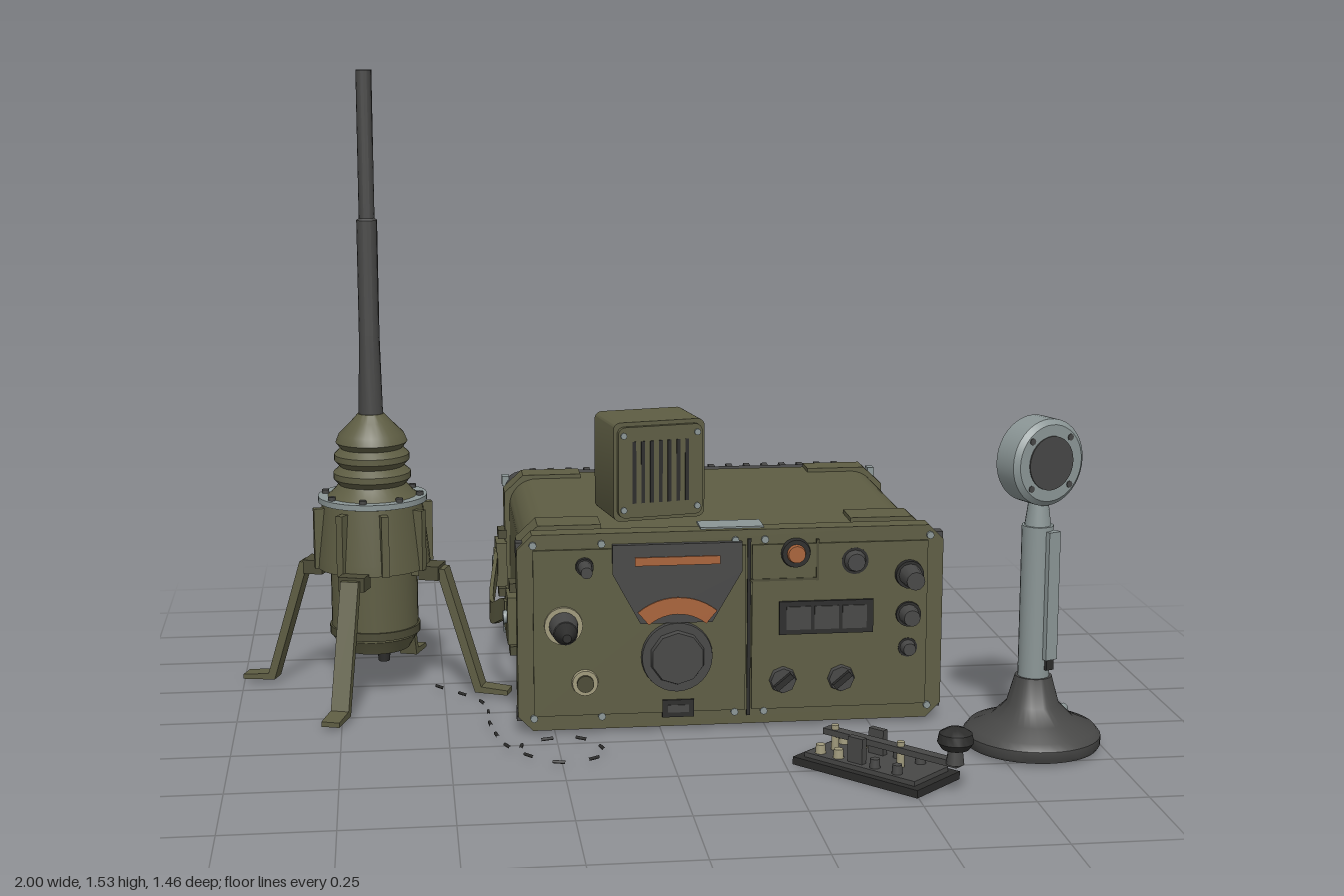
import * as THREE from 'three';
import { toCreasedNormals } from 'three/addons/utils/BufferGeometryUtils.js';

const M = {};
for (const [n, c] of Object.entries({
  olive: 0x5e5d43, darkOlive: 0x4c4b36, charcoal: 0x474746, black: 0x2c2c2b,
  steel: 0x8b9696, orange: 0xa8633a, beige: 0xa09a7c,
})) {
  M[n] = new THREE.MeshStandardMaterial({ color: c });
  M[n].name = n;
}

function add(parent, name, geo, mat, x = 0, y = 0, z = 0) {
  const m = new THREE.Mesh(geo, M[mat]);
  m.name = name;
  m.position.set(x, y, z);
  parent.add(m);
  return m;
}
const box = (p, n, mat, w, h, d, x, y, z) => add(p, n, new THREE.BoxGeometry(w, h, d), mat, x, y, z);
const cyl = (p, n, mat, rTop, rBot, h, x, y, z, seg = 20) =>
  add(p, n, new THREE.CylinderGeometry(rTop, rBot, h, seg), mat, x, y, z);
// Cylinder whose top points to +z
function cylZ(p, n, mat, rFront, rBack, h, x, y, z, seg = 20) {
  const m = cyl(p, n, mat, rFront, rBack, h, x, y, z + h / 2, seg);
  m.rotation.x = Math.PI / 2;
  return m;
}
const lathe = (p, n, mat, pts, seg = 32) => add(p, n, toCreasedNormals(
  new THREE.LatheGeometry(pts.map(([r, y]) => new THREE.Vector2(r, y)), seg), 0.6), mat);
const poly = pts => new THREE.Shape(pts.map(([x, y]) => new THREE.Vector2(x, y)));
const extrude = (shape, depth) => toCreasedNormals(
  new THREE.ExtrudeGeometry(shape, { depth, bevelEnabled: false, curveSegments: 6 }), 0.5);
const cutRect = (w, h, c) => poly([[-w + c, -h], [w - c, -h], [w, -h + c], [w, h - c], [w - c, h], [-w + c, h], [-w, h - c], [-w, -h + c]]);
function roundRect(w, h, r) {
  const s = new THREE.Shape();
  s.absarc(w - r, h - r, r, 0, Math.PI / 2);
  s.absarc(-w + r, h - r, r, Math.PI / 2, Math.PI);
  s.absarc(-w + r, -h + r, r, Math.PI, Math.PI * 1.5);
  s.absarc(w - r, -h + r, r, Math.PI * 1.5, Math.PI * 2);
  return s;
}
function group(parent, name, x = 0, y = 0, z = 0, ry = 0) {
  const g = new THREE.Group();
  g.name = name;
  g.position.set(x, y, z);
  g.rotation.y = ry;
  parent.add(g);
  return g;
}

function buildCase(root) {
  const g = group(root, 'radioCase', 0.168, 0.25, 0);
  add(g, 'body', extrude(roundRect(0.485, 0.225, 0.07), 0.7), 'olive', 0, 0, -0.56);
  add(g, 'frontFrame', extrude(cutRect(0.505, 0.236, 0.035), 0.05), 'olive', 0, 0, 0.125);
  add(g, 'rearFrame', extrude(roundRect(0.495, 0.22, 0.05), 0.06), 'charcoal', 0, 0, -0.615);
  add(g, 'finPlate', extrude(roundRect(0.455, 0.205, 0.03), 0.04), 'charcoal', 0, 0, -0.652);
  // Cooling fins with clipped rear corners
  const fin = extrude(poly([[0, -0.2], [0.1, -0.205], [0.115, -0.19], [0.115, 0.19], [0.1, 0.205], [0, 0.2]]), 0.016);
  for (let i = 0; i < 18; i++) {
    add(g, 'coolingFin', fin, 'charcoal', -0.418 + i * 0.0485, 0, -0.617).rotation.y = Math.PI / 2;
  }
  for (const [x, y] of [[0.15, 0.03], [-0.125, 0.12], [-0.125, -0.05]]) {
    box(g, 'rearTerminal', 'beige', 0.045, 0.05, 0.09, x, y, -0.672);
  }
  // Corner straps, side latches and carrying handles on both sides
  const half = poly([[0.3, -0.235], [0.45, -0.235], [0.498, -0.19], [0.498, 0.19], [0.45, 0.235], [0.3, 0.235]]);
  const mirrored = poly(half.getPoints().map(p => [-p.x, p.y]).reverse());
  for (const s of [1, -1]) {
    for (const [z, d, latchZ] of [[-0.01, 0.09, 0.03], [-0.56, 0.07, -0.51]]) {
      add(g, 'cornerStrap', extrude(s > 0 ? half : mirrored, d), 'olive', 0, 0, z);
      box(g, 'handleLatch', 'olive', 0.028, 0.115, 0.085, s * 0.508, 0.003, latchZ);
      const b = cyl(g, 'latchBolt', 'steel', 0.016, 0.016, 0.022, s * 0.52, 0.003, latchZ, 12);
      b.rotation.z = Math.PI / 2;
      for (const y of [-0.075, 0.08]) box(g, 'latchLug', 'darkOlive', 0.022, 0.022, 0.055, s * 0.505, y, latchZ);
    }
    const strap = new THREE.BoxGeometry(0.01, 0.055, 0.54, 1, 1, 24);
    const p = strap.attributes.position;
    for (let i = 0; i < p.count; i++) {
      const k = 0.5 + 0.5 * Math.cos(p.getZ(i) / 0.27 * Math.PI);
      p.setXYZ(i, p.getX(i) + s * (0.522 + 0.024 * k), p.getY(i) + 0.013 - 0.065 * k, p.getZ(i) - 0.24);
    }
    strap.computeVertexNormals();
    add(g, 'carryHandle', toCreasedNormals(strap, 0.6), 'olive');
    for (const y of [-0.2, 0.2]) {
      box(g, 'frameClip', 'charcoal', 0.02, 0.03, 0.03, s * 0.497, y, 0.145);
      box(g, 'rearClip', 'steel', 0.018, 0.025, 0.03, s * 0.49, y, -0.6);
    }
  }
  box(g, 'topLabel', 'steel', 0.15, 0.006, 0.07, 0.002, 0.237, 0.125);
  for (const x of [-0.3, 0.3]) box(g, 'foot', 'black', 0.12, 0.012, 0.06, x, -0.236, -0.25);
  box(g, 'bottomSlot', 'black', 0.34, 0.006, 0.02, 0, -0.227, -0.2);
}

function knob(p, name, mat, x, y, r, len) {
  const k = group(p, name, x, y, 0.175);
  cylZ(k, 'knobSkirt', 'black', r * 1.15, r * 1.2, len * 0.25, 0, 0, 0);
  cylZ(k, 'knobCap', mat, r * 0.75, r, len, 0, 0, 0, 12);
  return k;
}

function buildPanel(root) {
  const g = group(root, 'frontPanel');
  // Panel plates and seams
  box(g, 'leftPlate', 'olive', 0.5, 0.4, 0.008, -0.05, 0.25, 0.177);
  box(g, 'rightPlate', 'olive', 0.42, 0.4, 0.008, 0.425, 0.25, 0.177);
  box(g, 'plateSeam', 'black', 0.008, 0.43, 0.008, 0.208, 0.25, 0.176);
  box(g, 'controlSeam', 'darkOlive', 0.16, 0.006, 0.008, 0.29, 0.365, 0.179);
  box(g, 'controlSeam', 'darkOlive', 0.006, 0.1, 0.008, 0.37, 0.41, 0.179);
  // Tuning dial
  add(g, 'dialShield', extrude(poly([[-0.115, 0.46], [-0.115, 0.39], [-0.05, 0.27], [0.12, 0.27], [0.19, 0.39], [0.19, 0.46]].reverse()), 0.015), 'charcoal', 0, 0, 0.175);
  box(g, 'dialStrip', 'orange', 0.2, 0.02, 0.006, 0.037, 0.42, 0.191);
  const arc = new THREE.Shape();
  arc.absarc(0, 0, 0.145, 0.87, 2.27);
  arc.absarc(0, 0, 0.105, 2.27, 0.87, true);
  add(g, 'dialArc', extrude(arc, 0.005), 'orange', 0.037, 0.187, 0.189);
  cylZ(g, 'tuningSkirt', 'charcoal', 0.083, 0.085, 0.015, 0.037, 0.187, 0.178, 32);
  cylZ(g, 'tuningKnob', 'charcoal', 0.062, 0.07, 0.025, 0.037, 0.187, 0.18, 10);
  box(g, 'plugSocket', 'black', 0.075, 0.042, 0.012, 0.04, 0.06, 0.18);
  box(g, 'plugInset', 'charcoal', 0.05, 0.018, 0.016, 0.04, 0.06, 0.18);
  // Left connectors
  knob(g, 'leftKnob', 'charcoal', -0.18, 0.41, 0.018, 0.07);
  cylZ(g, 'connectorRing', 'beige', 0.045, 0.045, 0.012, -0.23, 0.27, 0.178);
  cylZ(g, 'connectorPlug', 'charcoal', 0.028, 0.035, 0.07, -0.23, 0.27, 0.18);
  cylZ(g, 'connectorTail', 'black', 0.01, 0.026, 0.045, -0.23, 0.27, 0.25);
  cylZ(g, 'lowerSocket', 'beige', 0.03, 0.032, 0.012, -0.18, 0.13, 0.178);
  cylZ(g, 'lowerSocketCore', 'darkOlive', 0.02, 0.02, 0.02, -0.18, 0.13, 0.178);
  // Right controls
  cylZ(g, 'lampBezel', 'black', 0.033, 0.036, 0.012, 0.318, 0.428, 0.178);
  cylZ(g, 'lamp', 'orange', 0.02, 0.025, 0.022, 0.318, 0.428, 0.178);
  knob(g, 'modeKnob', 'charcoal', 0.46, 0.405, 0.028, 0.025);
  knob(g, 'gainKnob', 'charcoal', 0.59, 0.37, 0.029, 0.08);
  knob(g, 'volumeKnob', 'charcoal', 0.59, 0.272, 0.026, 0.05);
  knob(g, 'toneKnob', 'charcoal', 0.59, 0.19, 0.02, 0.03);
  box(g, 'displayFrame', 'black', 0.225, 0.08, 0.016, 0.392, 0.272, 0.18);
  for (let i = -1; i < 2; i++) box(g, 'displayWindow', 'charcoal', 0.058, 0.056, 0.022, 0.392 + i * 0.067, 0.272, 0.18);
  for (const x of [0.29, 0.43]) {
    cylZ(g, 'selectorBase', 'charcoal', 0.03, 0.034, 0.014, x, 0.12, 0.178, 8);
    box(g, 'selectorBar', 'black', 0.05, 0.014, 0.03, x, 0.12, 0.19).rotation.z = 0.7;
  }
  // Corner and edge screws
  for (const x of [-0.3, -0.14, 0.175, 0.245, 0.64]) for (const y of [0.045, 0.462]) {
    cylZ(g, 'panelScrew', 'steel', 0.009, 0.009, 0.008, x, y, 0.175, 8);
  }
}

function buildSpeaker(root) {
  const g = group(root, 'speakerBox', 0, 0.6, -0.055, 0.19);
  add(g, 'speakerShell', extrude(roundRect(0.114, 0.12, 0.018), 0.16), 'olive', 0, 0, -0.085);
  add(g, 'speakerFace', extrude(roundRect(0.105, 0.11, 0.018), 0.012), 'olive', 0, 0, 0.075);
  for (let i = -3; i < 4; i++) box(g, 'grilleSlot', 'black', 0.009, 0.15, 0.006, i * 0.022, 0, 0.086);
  for (const x of [-0.092, 0.092]) for (const y of [-0.09, 0.09]) cylZ(g, 'speakerScrew', 'steel', 0.008, 0.008, 0.006, x, y, 0.085, 8);
  box(g, 'rearLabel', 'steel', 0.09, 0.045, 0.006, 0, 0.01, -0.087);
  cylZ(g, 'rearSocket', 'charcoal', 0.02, 0.02, 0.02, 0, -0.075, -0.1, 12);
}

function buildAntenna(root) {
  const g = group(root, 'antenna', -0.668, 0, -0.24);
  lathe(g, 'mast', 'charcoal', [[0, 1.54], [0.019, 1.54], [0.019, 1.185], [0.025, 1.18], [0.025, 0.9], [0.03, 0.69], [0, 0.69]].reverse(), 16);
  lathe(g, 'springBoot', 'olive', [[0.125, 0.49], [0.1, 0.51], [0.082, 0.53], [0.095, 0.545], [0.095, 0.56], [0.078, 0.575], [0.092, 0.59],
    [0.092, 0.605], [0.076, 0.62], [0.088, 0.635], [0.08, 0.655], [0.05, 0.685], [0.032, 0.705], [0, 0.705]]);
  cyl(g, 'clampRing', 'steel', 0.134, 0.134, 0.014, 0, 0.495, 0, 32);
  lathe(g, 'mountHousing', 'olive', [[0, 0.115], [0.085, 0.115], [0.1, 0.14], [0.107, 0.15], [0.107, 0.32], [0.14, 0.325], [0.138, 0.35], [0.122, 0.485], [0, 0.485]]);
  cyl(g, 'housingBand', 'darkOlive', 0.112, 0.112, 0.02, 0, 0.165, 0, 32);
  cyl(g, 'cableOutlet', 'black', 0.018, 0.014, 0.05, 0.02, 0.1, 0, 12);
  for (let i = 0; i < 8; i++) {
    const a = i * Math.PI / 4 + 0.2;
    cyl(g, 'clampBolt', 'charcoal', 0.009, 0.009, 0.012, 0.118 * Math.cos(a), 0.505, 0.118 * Math.sin(a), 8);
    box(group(g, 'housingRib', 0, 0, 0, a), 'rib', 'olive', 0.03, 0.15, 0.018, 0.133, 0.4, 0);
  }
  // Four splayed legs
  const leg = extrude(poly([[0.1, 0.305], [0.172, 0.305], [0.262, 0.015], [0.345, 0.012], [0.345, 0.024], [0.278, 0.03], [0.188, 0.325], [0.1, 0.325]]), 0.045);
  for (let i = 0; i < 4; i++) {
    const h = group(g, 'legAssembly', 0, 0, 0, -0.32 + i * Math.PI / 2);
    add(h, 'leg', leg, 'olive', 0, 0, -0.0225);
    box(h, 'legHinge', 'darkOlive', 0.05, 0.035, 0.065, 0.15, 0.315, 0);
  }
}

function buildMicrophone(root) {
  const g = group(root, 'microphone', 0.84, 0, 0.382);
  lathe(g, 'micBase', 'charcoal', [[0, 0.012], [0.152, 0.012], [0.157, 0.02], [0.157, 0.04], [0.145, 0.055], [0.095, 0.075], [0.06, 0.11], [0.042, 0.175], [0, 0.175]], 40);
  cyl(g, 'micStem', 'steel', 0.036, 0.036, 0.36, 0, 0.35, 0, 24);
  cyl(g, 'micNeck', 'steel', 0.022, 0.03, 0.06, 0, 0.56, 0);
  const h = group(g, 'micHead', 0, 0.68, 0, 0.41);
  box(h, 'talkSwitch', 'steel', 0.032, 0.3, 0.02, 0.012, -0.31, 0.038);
  box(h, 'switchButton', 'black', 0.02, 0.03, 0.012, 0.012, -0.47, 0.038);
  cylZ(h, 'headShell', 'steel', 0.1, 0.1, 0.06, 0, 0, -0.03, 40);
  cylZ(h, 'headRim', 'steel', 0.088, 0.1, 0.01, 0, 0, 0.03, 40);
  cylZ(h, 'headBack', 'steel', 0.1, 0.09, 0.01, 0, 0, -0.04, 40);
  cylZ(h, 'headGrille', 'charcoal', 0.062, 0.062, 0.008, 0, 0, 0.035, 32);
  for (let i = 0; i < 4; i++) {
    const a = Math.PI / 4 + i * Math.PI / 2;
    cylZ(h, 'headScrew', 'charcoal', 0.008, 0.008, 0.085, 0.077 * Math.cos(a), 0.077 * Math.sin(a), -0.043, 8);
  }
  const jack = cyl(g, 'cableJack', 'steel', 0.012, 0.012, 0.14, 0.087, 0.03, -0.135, 12);
  jack.rotation.set(Math.PI / 2, 0, -0.73, 'YXZ');
  jack.rotation.y = Math.PI - 0.7;
  jack.rotation.z = 0;
}

function buildKey(root) {
  const g = group(root, 'telegraphKey', 0.443, 0, 0.52, -0.83);
  box(g, 'keyBase', 'black', 0.34, 0.018, 0.165, 0, 0.014, 0);
  box(g, 'keyDeck', 'charcoal', 0.3, 0.012, 0.13, 0, 0.028, 0);
  box(g, 'lever', 'charcoal', 0.36, 0.014, 0.026, 0.045, 0.075, 0.004);
  for (const z of [-0.036, 0.044]) box(g, 'leverPost', 'charcoal', 0.04, 0.065, 0.016, -0.02, 0.06, z);
  for (const x of [-0.12, -0.07, 0.03, 0.09]) for (const z of [-0.045, 0.045]) cyl(g, 'terminal', x < 0 ? 'beige' : 'charcoal', 0.011, 0.013, 0.025, x, 0.042, z, 10);
  for (const x of [-0.11, 0.07]) cyl(g, 'leverScrew', 'beige', 0.009, 0.009, 0.06, x, 0.062, 0.004, 10);
  cyl(g, 'knobStem', 'charcoal', 0.015, 0.02, 0.04, 0.216, 0.095, 0.008, 12);
  const k = lathe(g, 'keyKnob', 'black', [[0, 0.108], [0.03, 0.11], [0.04, 0.125], [0.036, 0.145], [0.02, 0.155], [0, 0.157]], 24);
  k.position.set(0.216, 0, 0.008);
}

// Short visible lengths of a loose ground cable
function buildCable(root) {
  const path = new THREE.CatmullRomCurve3([[-0.52, -0.2], [-0.41, -0.05], [-0.4, 0.12], [-0.36, 0.3], [-0.25, 0.41], [-0.15, 0.36], [-0.2, 0.24], [-0.33, 0.27], [-0.34, 0.36]]
    .map(([x, z]) => new THREE.Vector3(x, 0.016, z)));
  for (let i = 0; i < 14; i++) {
    const seg = new THREE.LineCurve3(path.getPointAt(i / 14), path.getPointAt(i / 14 + 0.025));
    add(root, 'groundCable', new THREE.TubeGeometry(seg, 1, 0.004, 6), 'black');
  }
}

export function createModel() {
  const root = new THREE.Group();
  root.name = 'fieldRadioSet';
  for (const build of [buildCase, buildPanel, buildSpeaker, buildAntenna, buildMicrophone, buildKey, buildCable]) build(root);
  return root;
}
